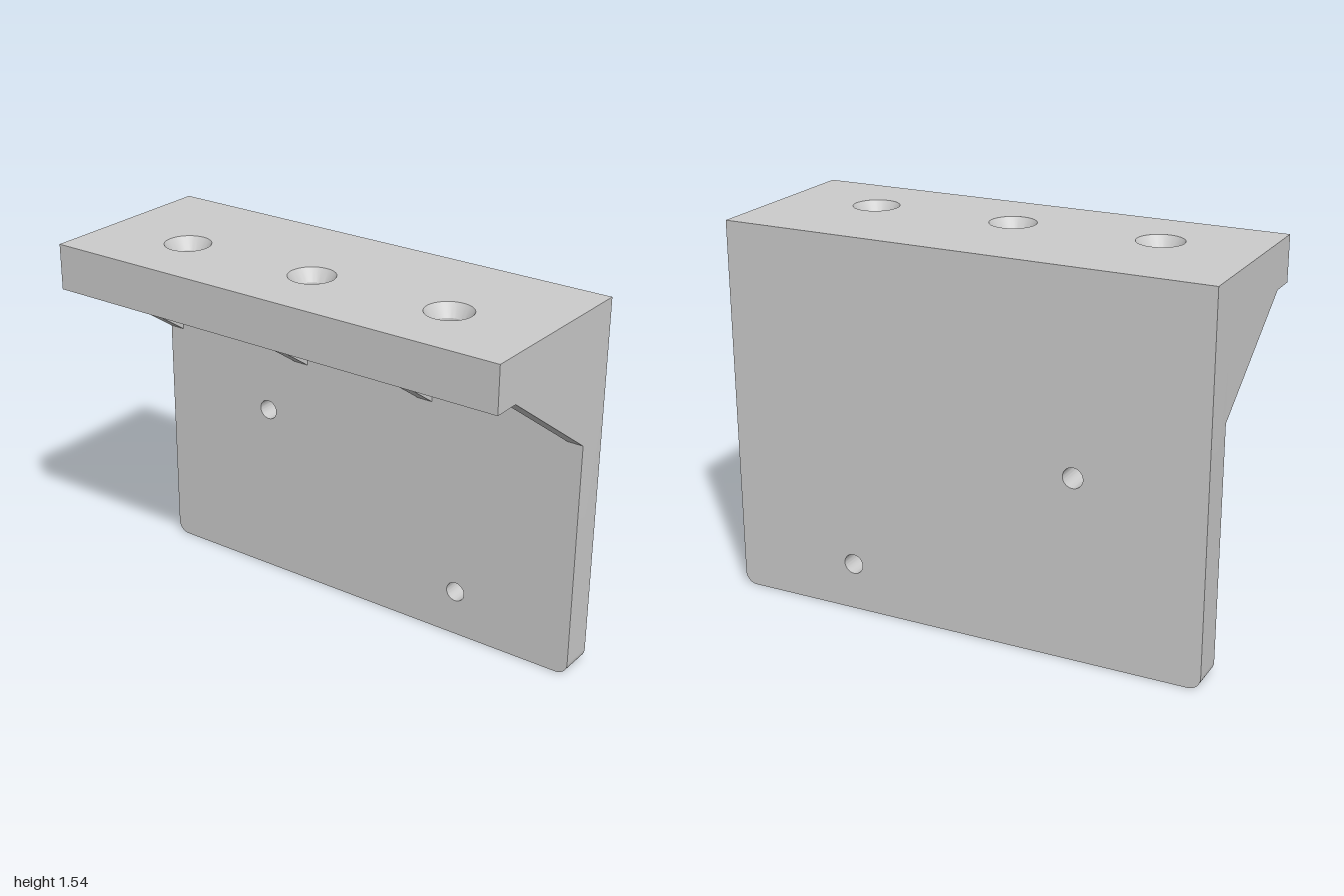
import * as THREE from 'three';
import { toCreasedNormals } from 'three/addons/utils/BufferGeometryUtils.js';

const W = 2, H = 1.54, BACK = -0.385, FRONT = 0.385;
const PLATE_Z = -0.243, SHELF_Y = 1.354;
const BORE_R = 0.06, SINK_R = 0.093, SINK_DEPTH = 0.05, HOLE_Z = 0.08;
const HOLE_X = [-0.605, 0, 0.605];

const material = new THREE.MeshStandardMaterial({ color: 0xcccccc });

function addMesh(parent, name, geometry) {
  const mesh = new THREE.Mesh(toCreasedNormals(geometry, 0.5), material);
  mesh.name = name;
  parent.add(mesh);
  return mesh;
}

function addHole(shape, x, y, r) {
  shape.holes.push(new THREE.Path().absarc(x, y, r, 0, Math.PI * 2, true));
}

// Upright plate with rounded lower corners and two screw holes
function makePlate(parent) {
  const r = 0.05, x = W / 2;
  const s = new THREE.Shape();
  s.moveTo(-x, H);
  s.lineTo(-x, r);
  s.absarc(-x + r, r, r, Math.PI, Math.PI * 1.5, false);
  s.lineTo(x - r, 0);
  s.absarc(x - r, r, r, Math.PI * 1.5, Math.PI * 2, false);
  s.lineTo(x, H);
  s.closePath();
  addHole(s, -0.475, 0.745, 0.041);
  addHole(s, 0.475, 0.195, 0.041);
  const g = new THREE.ExtrudeGeometry(s, { depth: PLATE_Z - BACK, bevelEnabled: false, curveSegments: 24 });
  addMesh(parent, 'backPlate', g.translate(0, 0, BACK));
}

// Horizontal shelf face with round openings; side is +1 for up, -1 for down
function shelfFace(side, radius) {
  const s = new THREE.Shape();
  const near = -side * FRONT, far = -side * PLATE_Z;
  s.moveTo(-W / 2, near);
  s.lineTo(W / 2, near);
  s.lineTo(W / 2, far);
  s.lineTo(-W / 2, far);
  s.closePath();
  for (const x of HOLE_X) addHole(s, x, -side * HOLE_Z, radius);
  return new THREE.ShapeGeometry(s, 24).rotateX(-side * Math.PI / 2);
}

function makeShelf(parent) {
  const shelf = new THREE.Group();
  shelf.name = 'shelf';
  parent.add(shelf);
  const t = H - SHELF_Y, depth = FRONT - PLATE_Z;
  const midY = (H + SHELF_Y) / 2, midZ = (FRONT + PLATE_Z) / 2;

  addMesh(shelf, 'shelfTop', shelfFace(1, SINK_R).translate(0, H, 0));
  addMesh(shelf, 'shelfUnderside', shelfFace(-1, BORE_R).translate(0, SHELF_Y, 0));
  addMesh(shelf, 'shelfFront', new THREE.PlaneGeometry(W, t).translate(0, midY, FRONT));
  for (const side of [-1, 1]) {
    const end = new THREE.PlaneGeometry(depth, t).rotateY(side * Math.PI / 2);
    addMesh(shelf, 'shelfEnd', end.translate(side * W / 2, midY, midZ));
  }

  // Countersunk bores, profile run downwards so the walls face inwards
  const profile = [[SINK_R, H], [BORE_R, H - SINK_DEPTH], [BORE_R, SHELF_Y]]
    .map(([r, y]) => new THREE.Vector2(r, y));
  for (const x of HOLE_X) {
    addMesh(shelf, 'countersunkHole', new THREE.LatheGeometry(profile, 48).translate(x, 0, HOLE_Z));
  }
}

// Triangular ribs under the shelf
function makeGussets(parent) {
  const t = 0.067;
  const s = new THREE.Shape();
  s.moveTo(-PLATE_Z, 1.0);
  s.lineTo(-PLATE_Z, SHELF_Y);
  s.lineTo(-0.27, SHELF_Y);
  s.closePath();
  for (const x of [-1 + t / 2, -0.303, 0.303, 1 - t / 2]) {
    const g = new THREE.ExtrudeGeometry(s, { depth: t, bevelEnabled: false });
    addMesh(parent, 'gusset', g.translate(0, 0, -t / 2).rotateY(Math.PI / 2).translate(x, 0, 0));
  }
}

export function createModel() {
  const model = new THREE.Group();
  model.name = 'mountingBracket';
  makePlate(model);
  makeShelf(model);
  makeGussets(model);
  return model;
}
